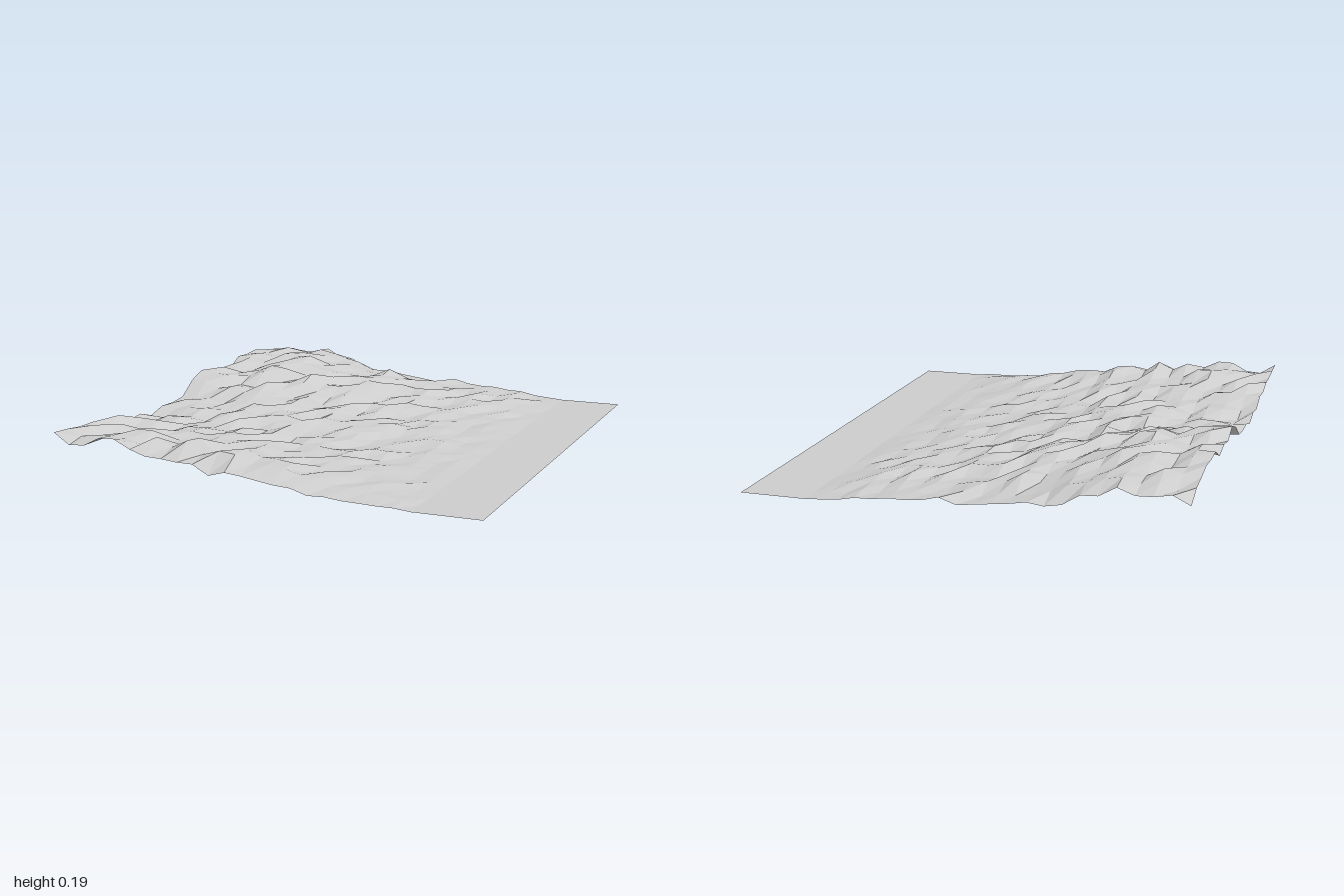
import * as THREE from 'three';

const WIDTH = 1.727, DEPTH = 2, COLS = 26, ROWS = 22;
const FLAT_FROM = 22; // columns from here on lie at ground level

// Broad landform: heights in hundredths, one row per z, one column per x
const xs = [-0.86, -0.6, -0.4, -0.2, 0, 0.2, 0.4, 0.6];
const landform = [
  [-1.0, [13, 15, 9, 6, 5, 4, 2, 0]],
  [-0.8, [17, 18, 14, 10, 6, 5, 3, 0]],
  [-0.6, [16, 18, 15, 10, 7, 5, 3, 0]],
  [-0.4, [16, 17, 15, 9, 6, 4, 2, 0]],
  [-0.2, [17, 15, 10, 8, 6, 4, 2, 0]],
  [0.0, [10, 9, 9, 8, 6, 4, 2, 0]],
  [0.2, [8, 9, 10, 8, 5, 3, 2, 0]],
  [0.4, [7, 8, 10, 7, 4, 3, 2, 0]],
  [0.6, [13, 11, 10, 8, 5, 4, 2, 0]],
  [0.8, [12, 13, 12, 10, 7, 5, 3, 0]],
  [0.91, [13, 13, 13, 12, 8, 5, 3, 0]],
  [1.0, [13, 13, 11, 6, 4, 2.5, 1.5, 0]],
];

// Index and blend factor of v within an ascending list
function locate(list, v) {
  let i = 0;
  while (i < list.length - 2 && v > list[i + 1]) i++;
  return [i, THREE.MathUtils.clamp((v - list[i]) / (list[i + 1] - list[i]), 0, 1)];
}

function baseHeight(x, z) {
  const [i, u] = locate(xs, x);
  const [j, v] = locate(landform.map((row) => row[0]), z);
  const across = (row) => THREE.MathUtils.lerp(row[1][i], row[1][i + 1], u);
  return THREE.MathUtils.lerp(across(landform[j]), across(landform[j + 1]), v) / 100;
}

// Small seeded generator for the rocky roughness
function seeded(seed) {
  return () => {
    seed = (seed * 1664525 + 1013904223) % 4294967296;
    return seed / 4294967296;
  };
}

export function createModel() {
  const group = new THREE.Group();
  group.name = 'terrain';
  const random = seeded(17);

  // Faceted hillside sloping down to a level strip
  const grid = new THREE.PlaneGeometry(WIDTH, DEPTH, COLS, ROWS).rotateX(-Math.PI / 2);
  const pos = grid.attributes.position;
  for (let k = 0; k < pos.count; k++) {
    const col = k % (COLS + 1);
    const rough = random() * 2 - 1;
    if (col >= FLAT_FROM) {
      pos.setY(k, 0);
      continue;
    }
    const h = baseHeight(pos.getX(k), pos.getZ(k));
    const amount = Math.min(0.024, 0.004 + h * 0.24);
    pos.setY(k, Math.max(0.005, h + rough * amount));
  }
  const geometry = grid.toNonIndexed();
  geometry.computeVertexNormals();

  const material = new THREE.MeshStandardMaterial({
    color: 0xcccccc,
    flatShading: true,
    side: THREE.DoubleSide,
  });
  const hillside = new THREE.Mesh(geometry, material);
  hillside.name = 'hillside';
  group.add(hillside);
  return group;
}
